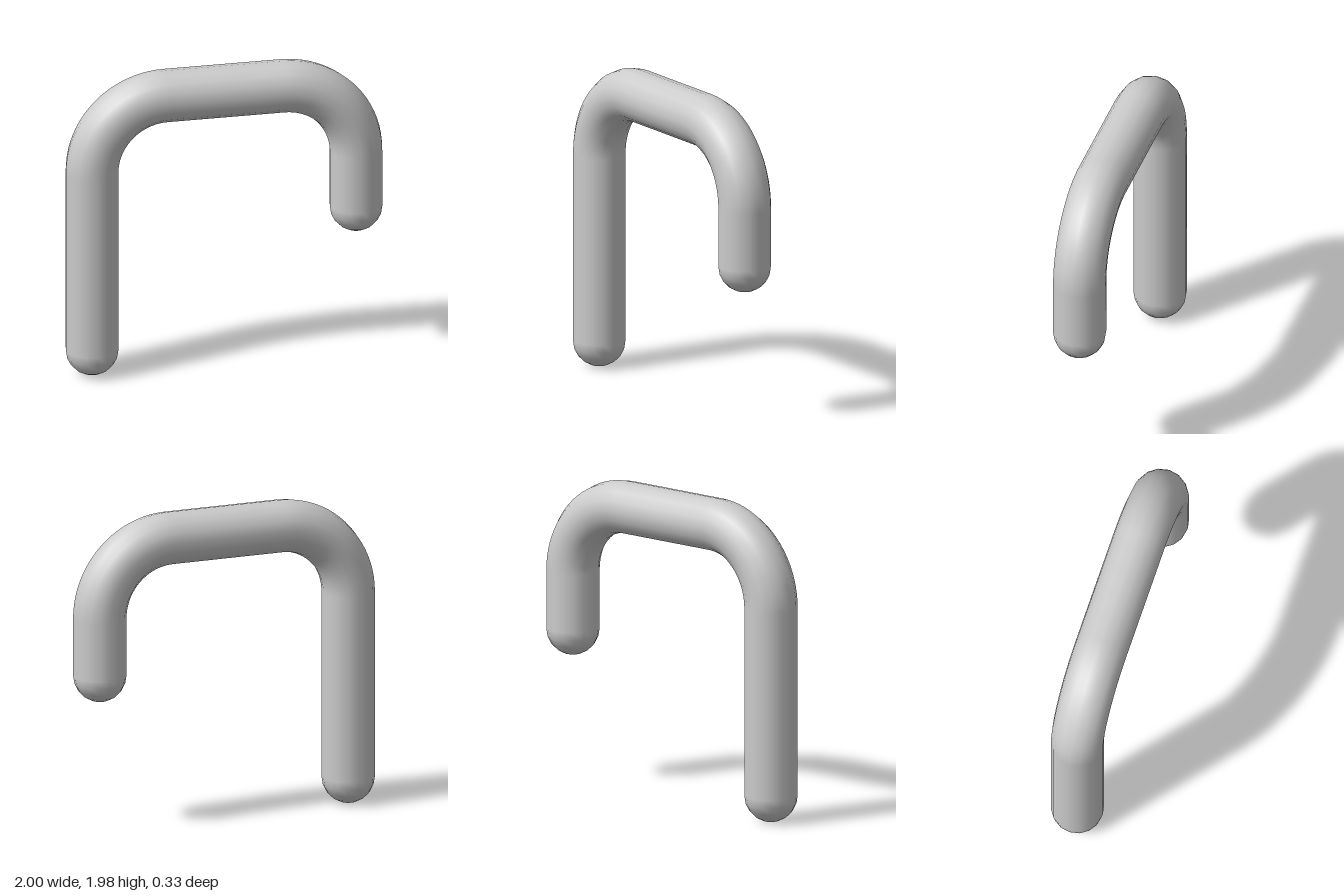
import * as THREE from 'three';

const R = 0.165;      // tube radius
const BEND = 0.465;   // bend radius of the centre line
const LEG_X = 0.835;  // leg centre line
const BAR_Y = 1.815;  // bar centre line
const SIDES = 16;

export function createModel() {
  const group = new THREE.Group();
  const material = new THREE.MeshStandardMaterial({ color: 0xcccccc });
  const cornerX = LEG_X - BEND;
  const cornerY = BAR_Y - BEND;

  const add = (name, geometry, x, y) => {
    const mesh = new THREE.Mesh(geometry, material);
    mesh.name = name;
    mesh.position.set(x, y, 0);
    group.add(mesh);
    return mesh;
  };
  const tube = (length) => new THREE.CylinderGeometry(R, R, length, SIDES, 1, true);

  // Straight top bar
  add('topBar', tube(2 * cornerX), 0, BAR_Y).rotation.z = Math.PI / 2;

  // Each side: quarter bend, straight leg and rounded end; the right leg is longer
  for (const [side, sign, endY] of [['left', 1, 0.985], ['right', -1, 0.17]]) {
    const bend = add(side + 'Bend', new THREE.TorusGeometry(BEND, R, SIDES, 20, Math.PI / 2), sign * cornerX, cornerY);
    if (sign < 0) bend.rotation.y = Math.PI;
    add(side + 'Leg', tube(cornerY - endY), sign * LEG_X, (cornerY + endY) / 2);
    add(side + 'End', new THREE.SphereGeometry(R, SIDES, 5, 0, Math.PI * 2, Math.PI / 2, Math.PI / 2), sign * LEG_X, endY);
  }
  return group;
}
